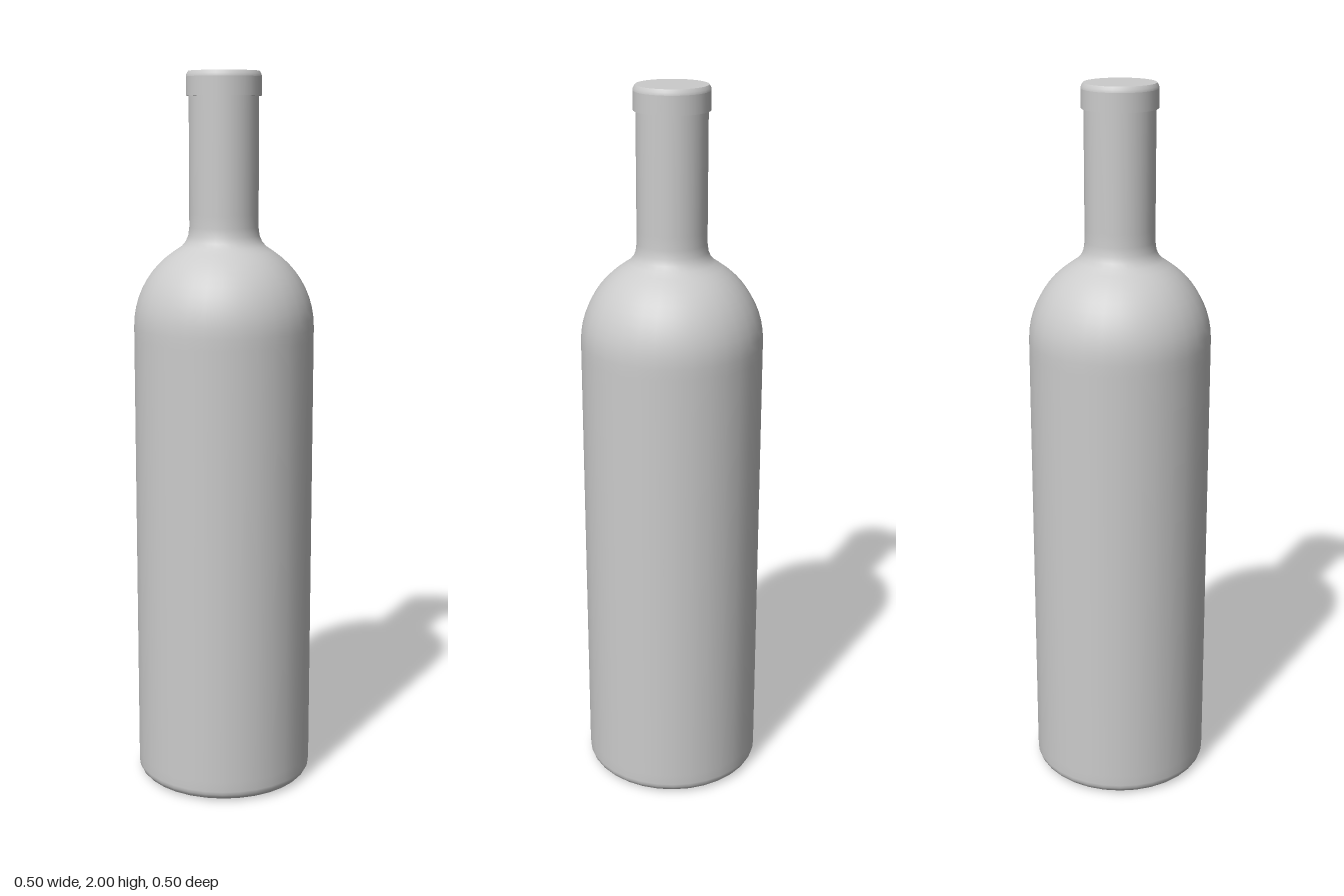
import * as THREE from 'three';

const SEGMENTS = 32;
const material = new THREE.MeshStandardMaterial({ color: 0xcccccc });

// Spins a profile of [radius, height] pairs, listed from the underside outwards and up
function spin(name, profile) {
  const points = profile.map(([r, y]) => new THREE.Vector2(r, y));
  const mesh = new THREE.Mesh(new THREE.LatheGeometry(points, SEGMENTS), material);
  mesh.name = name;
  return mesh;
}

// Arc of profile points around a centre, angles in degrees
function arc(cr, cy, radius, from, to, steps) {
  return Array.from({ length: steps + 1 }, (_, i) => {
    const a = THREE.MathUtils.degToRad(from + ((to - from) * i) / steps);
    return [cr + radius * Math.cos(a), cy + radius * Math.sin(a)];
  });
}

export function createModel() {
  const bottle = new THREE.Group();
  bottle.name = 'bottle';

  // Hollow cone pushed up into the base, with a small flat tip
  bottle.add(spin('puntTip', [[0, 0.12], [0.035, 0.12]]));
  bottle.add(spin('punt', [
    [0.035, 0.12], [0.09, 0.085], [0.15, 0.04], [0.185, 0.012], [0.205, 0.002], [0.22, 0],
  ]));

  // Rounded heel, straight wall, domed shoulder and flared neck
  bottle.add(spin('body', [
    ...arc(0.22, 0.03, 0.03, -90, 0, 5),
    [0.25, 0.06], [0.25, 1.28],
    ...arc(0, 1.31, 0.25, 0, 57, 9),
    [0.116, 1.533], [0.105, 1.546], [0.098, 1.562], [0.095, 1.585],
    [0.095, 1.62], [0.095, 1.94],
  ]));

  // Raised band around the mouth
  bottle.add(spin('lipUnderside', [[0.094, 1.935], [0.102, 1.935]]));
  bottle.add(spin('lip', [[0.102, 1.935], [0.102, 1.985]]));
  bottle.add(spin('lipEdge', [[0.102, 1.985], [0.101, 1.992], [0.096, 2]]));

  // Closed top
  bottle.add(spin('cap', [[0.096, 2], [0, 2]]));

  return bottle;
}
